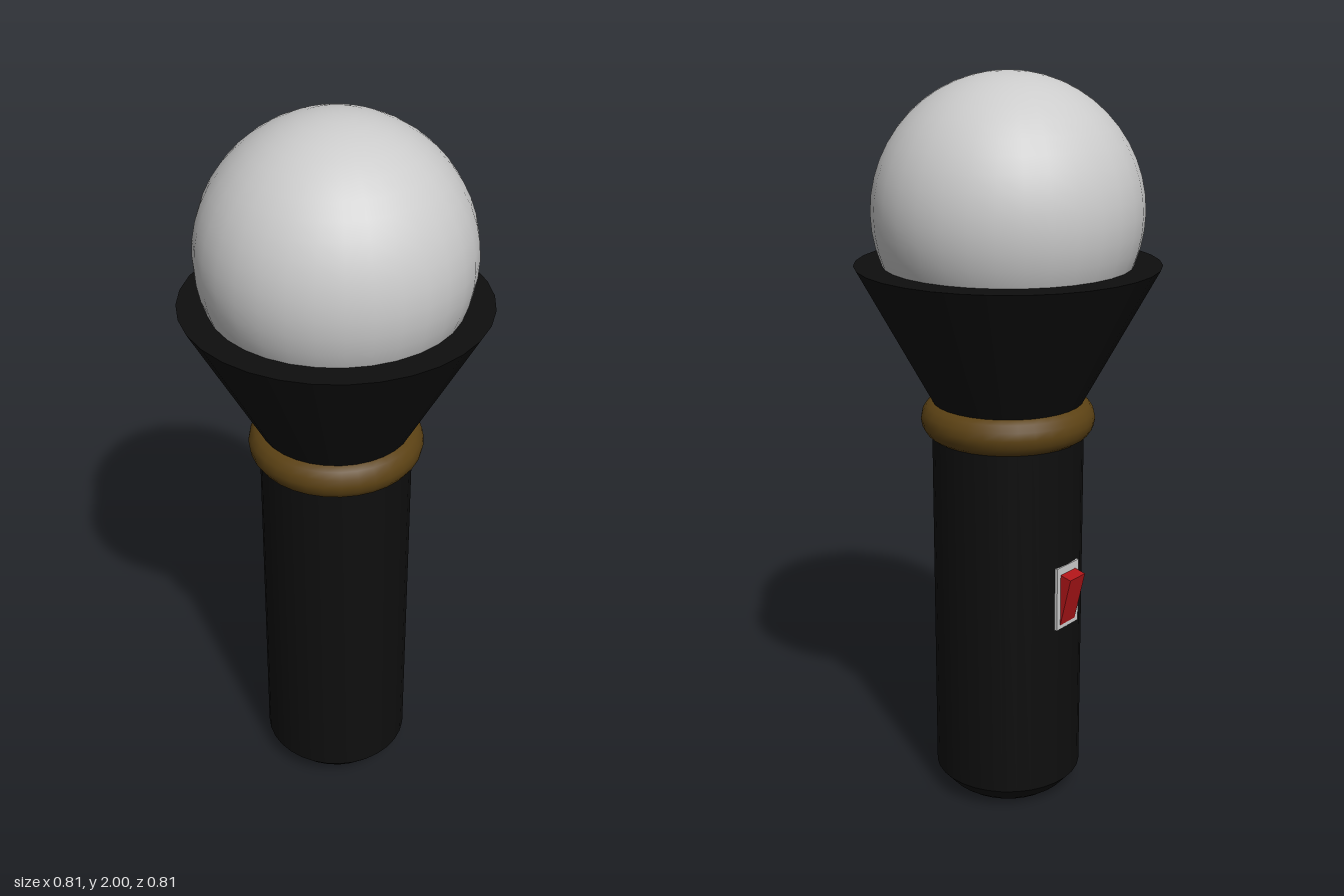
import * as THREE from 'three';
import { toCreasedNormals } from 'three/addons/utils/BufferGeometryUtils.js';

const SIDES = 32;
const black = new THREE.MeshStandardMaterial({ color: 0x0e0e0e });
const bronze = new THREE.MeshStandardMaterial({ color: 0x5c4214 });
const red = new THREE.MeshStandardMaterial({ color: 0xb01518 });
const grey = new THREE.MeshStandardMaterial({ color: 0xcccccc });

export function createModel() {
  const model = new THREE.Group();
  model.name = 'microphone';

  const add = (name, geometry, material, x = 0, y = 0, z = 0, parent = model) => {
    const mesh = new THREE.Mesh(geometry, material);
    mesh.name = name;
    mesh.position.set(x, y, z);
    parent.add(mesh);
    return mesh;
  };

  // Closed turned solid from [radius, height] pairs, bottom to top
  const turned = (profile) => toCreasedNormals(
    new THREE.LatheGeometry(profile.map(([r, y]) => new THREE.Vector2(r, y)), SIDES), 0.6);

  // Handle with a rounded-off foot
  add('handle', turned([
    [0, 0], [0.12, 0], [0.15, 0.007], [0.17, 0.022], [0.205, 0.062], [0.205, 1.12], [0, 1.12],
  ]), black);

  // Flared cup with a flat top that holds the ball
  add('cup', turned([[0, 1.1], [0.18, 1.1], [0.403, 1.51], [0, 1.51]]), black);

  // Collar ring between handle and cup
  add('collar', new THREE.TorusGeometry(0.18, 0.055, 16, SIDES).rotateX(Math.PI / 2), bronze, 0, 1.094, 0);

  // Ball head
  add('ballHead', new THREE.SphereGeometry(0.355, SIDES, 24), grey, 0, 1.645, 0);

  // Rocker switch on the back: thin plate and tilted button
  const rocker = new THREE.Group();
  rocker.name = 'switch';
  rocker.position.set(0, 0.625, -0.2);
  model.add(rocker);
  add('switchPlate', new THREE.BoxGeometry(0.096, 0.18, 0.014), grey, 0, 0, 0, rocker);
  const button = add('switchButton', new THREE.BoxGeometry(0.066, 0.15, 0.04), red, 0, -0.008, -0.003, rocker);
  button.rotation.x = -0.23;

  return model;
}
